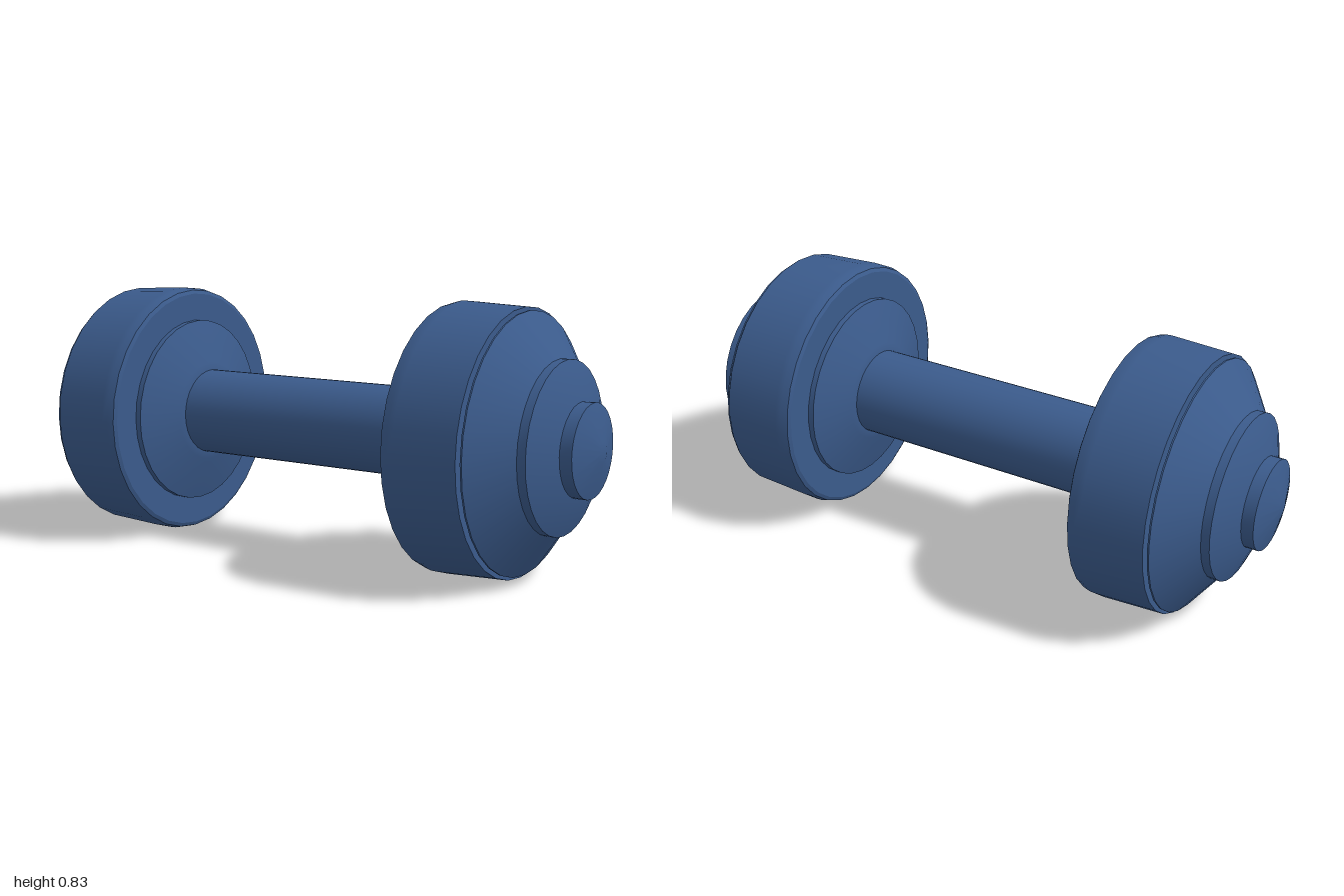
import * as THREE from 'three';
import { toCreasedNormals } from 'three/addons/utils/BufferGeometryUtils.js';

const SIDES = 32;
const AXIS_HEIGHT = 0.414;

// Turned part along z; profile is [radius, z] from the inner to the outer end.
function turned(name, profile, material) {
  const points = profile.map(([r, z]) => new THREE.Vector2(r, z));
  const lathe = new THREE.LatheGeometry(points, SIDES);
  lathe.rotateX(Math.PI / 2);
  const mesh = new THREE.Mesh(toCreasedNormals(lathe, 0.45), material);
  mesh.name = name;
  return mesh;
}

function createHead(name, material) {
  const head = new THREE.Group();
  head.name = name;
  head.add(
    // Sloped collar where the handle meets the weight
    turned('innerCollar', [
      [0, 0.43], [0.145, 0.43], [0.165, 0.435], [0.305, 0.483], [0.305, 0.508], [0, 0.508],
    ], material),
    // Wide, slightly tapered weight
    turned('weight', [
      [0, 0.502], [0.395, 0.502], [0.407, 0.508], [0.413, 0.53], [0.414, 0.55],
      [0.405, 0.748], [0, 0.748],
    ], material),
    // Conical cover, set off from the weight by a narrow gap
    turned('outerCover', [
      [0, 0.757], [0.395, 0.757], [0.395, 0.762], [0.26, 0.86], [0.26, 0.887],
      [0.15, 0.932], [0, 0.932],
    ], material),
    // Small end knob
    turned('endKnob', [
      [0.141, 0.925], [0.141, 0.97], [0.03, 1], [0, 1],
    ], material),
  );
  return head;
}

export function createModel() {
  const model = new THREE.Group();
  model.name = 'dumbbell';
  const blue = new THREE.MeshStandardMaterial({ color: 0x3b5b8c });

  const body = new THREE.Group();
  body.name = 'body';
  body.position.y = AXIS_HEIGHT;
  model.add(body);

  // Handle
  body.add(turned('handle', [[0.14, -0.44], [0.14, 0.44]], blue));

  // Matching heads at both ends
  const frontHead = createHead('frontHead', blue);
  const backHead = createHead('backHead', blue);
  backHead.rotation.y = Math.PI;
  body.add(frontHead, backHead);

  return model;
}
